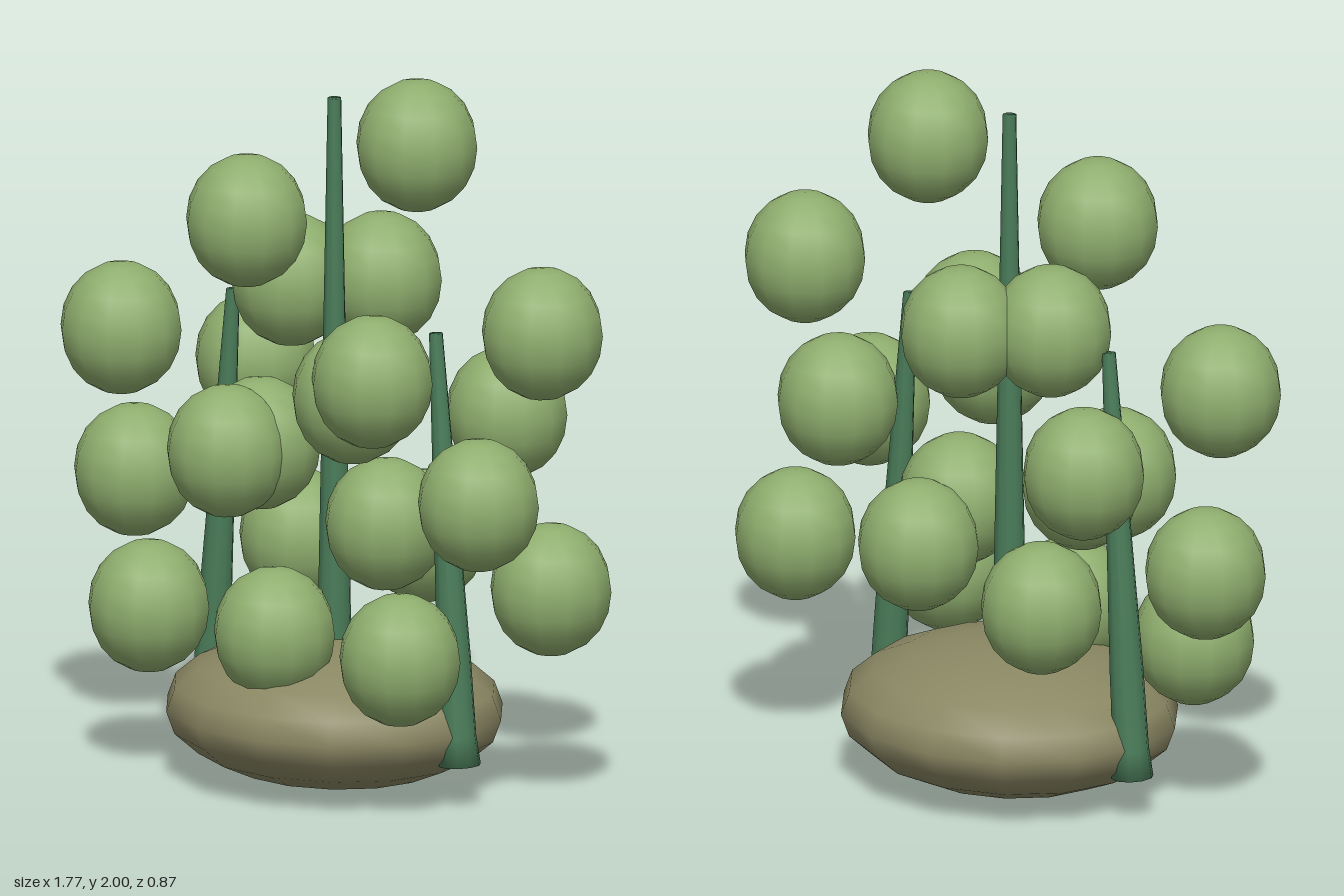
import * as THREE from 'three';

const leafMat = new THREE.MeshStandardMaterial({ color: 0x8fae6e });
const stemMat = new THREE.MeshStandardMaterial({ color: 0x4a7c59 });
const rockMat = new THREE.MeshStandardMaterial({ color: 0x8a8763 });

// Tapered stem with a flared foot, leaning from base to tip
function makeStem(baseX, tipX, baseY, tipY) {
  const length = Math.hypot(tipX - baseX, tipY - baseY);
  const profile = [[0, 0], [0.058, 0], [0.05, 0.08], [0.047, 0.3], [0.019, length], [0, length]]
    .map(([r, y]) => new THREE.Vector2(r, y));
  const stem = new THREE.Mesh(new THREE.LatheGeometry(profile, 10), stemMat);
  stem.position.set(baseX, baseY, 0);
  stem.rotation.z = -Math.atan2(tipX - baseX, tipY - baseY);
  stem.name = 'stem';
  return stem;
}

// One plant: a stem with seven leaf balls spiralling upward around it
function makePlant(name, baseX, tipX, tipY, topBallY) {
  const plant = new THREE.Group();
  plant.name = name;
  plant.add(makeStem(baseX, tipX, 0.12, tipY));
  const ball = new THREE.SphereGeometry(0.169, 12, 10);
  const count = 7;
  for (let i = 0; i < count; i++) {
    const angle = i * 2.4;
    const leaf = new THREE.Mesh(ball, leafMat);
    leaf.name = 'leafBall';
    leaf.scale.y = 1.09;
    leaf.position.set(
      baseX + 0.256 * Math.sin(angle),
      THREE.MathUtils.lerp(0.46, topBallY, i / (count - 1)),
      0.243 * Math.cos(angle)
    );
    plant.add(leaf);
  }
  return plant;
}

export function createModel() {
  const model = new THREE.Group();
  model.name = 'plantCluster';

  // Flattened rock the plants grow from
  const rock = new THREE.Mesh(new THREE.SphereGeometry(1, 14, 10), rockMat);
  rock.name = 'rock';
  rock.scale.set(0.488, 0.204, 0.445);
  rock.position.y = 0.206;
  model.add(rock);

  // Tall middle plant and two shorter ones leaning inward
  model.add(makePlant('middlePlant', 0, 0, 1.92, 1.816));
  model.add(makePlant('leftPlant', 0.464, 0.375, 1.32, 1.363));
  model.add(makePlant('rightPlant', -0.464, -0.375, 1.32, 1.363));
  return model;
}
